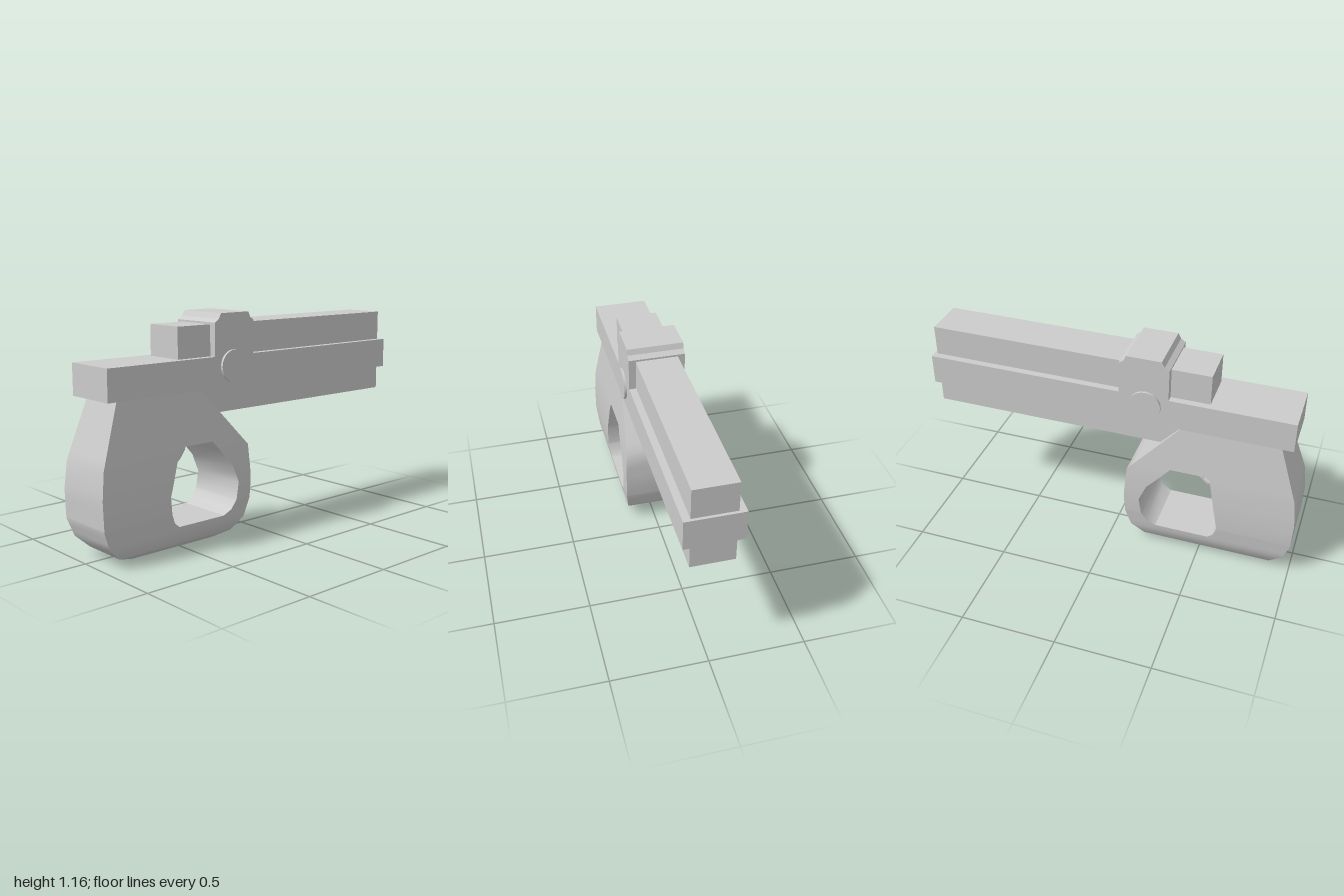
import * as THREE from 'three';
import { toCreasedNormals } from 'three/addons/utils/BufferGeometryUtils.js';

const material = new THREE.MeshStandardMaterial({ color: 0xcccccc });

function addMesh(group, name, geometry) {
  const mesh = new THREE.Mesh(geometry, material);
  mesh.name = name;
  group.add(mesh);
  return mesh;
}

// Extrudes an x/y outline, centred on z = 0
function plate(points, depth, bevel = 0) {
  const shape = new THREE.Shape(points.map(([x, y]) => new THREE.Vector2(x, y)));
  const inner = depth - 2 * bevel;
  return new THREE.ExtrudeGeometry(shape, {
    depth: inner, bevelEnabled: bevel > 0, bevelSize: bevel,
    bevelThickness: bevel, bevelOffset: -bevel, bevelSegments: 1,
  }).translate(0, 0, -inner / 2);
}

// Linear lookup in a list of [y, value] pairs
function at(table, y) {
  for (let i = 1; i < table.length; i++) {
    const [y0, v0] = table[i - 1], [y1, v1] = table[i];
    if (y <= y1) return v0 + (v1 - v0) * (y - y0) / (y1 - y0);
  }
  return table[table.length - 1][1];
}

// Grip profile: outer edges, hole edges and half thickness by height
const outerLeft = [[0, -0.79], [0.03, -0.89], [0.095, -0.96], [0.19, -0.995], [0.34, -1], [0.48, -0.985], [0.79, -0.88]];
const outerRight = [[0, -0.29], [0.03, -0.19], [0.095, -0.12], [0.19, -0.09], [0.3, -0.08], [0.48, -0.095], [0.79, -0.38]];
const holeLeftFront = [[0.125, -0.55], [0.15, -0.58], [0.2, -0.6], [0.29, -0.607], [0.525, -0.54]];
const holeLeftBack = [[0.125, -0.55], [0.15, -0.58], [0.2, -0.6], [0.525, -0.54]];
const holeRight = [[0.125, -0.26], [0.15, -0.21], [0.2, -0.18], [0.29, -0.165], [0.385, -0.205], [0.525, -0.33]];
const halfWidth = [[0, 0.09], [0.03, 0.13], [0.095, 0.153], [0.2, 0.166], [0.34, 0.166], [0.48, 0.159], [0.79, 0.122]];
const levels = [0, 0.03, 0.095, 0.125, 0.15, 0.19, 0.2, 0.29, 0.34, 0.385, 0.48, 0.525, 0.79];

// Stacks four-cornered sections between two heights and caps the ends
function stack(from, to, left, right, rightBack = right) {
  const rows = levels.filter((y) => y >= from && y <= to);
  const positions = [], index = [];
  for (const y of rows) {
    const w = at(halfWidth, y);
    positions.push(at(left, y), y, w, at(right, y), y, w, at(rightBack, y), y, -w, at(left, y), y, -w);
  }
  for (let r = 0; r < rows.length - 1; r++) {
    for (let c = 0; c < 4; c++) {
      const a = r * 4 + c, b = r * 4 + (c + 1) % 4;
      index.push(a, b, b + 4, a, b + 4, a + 4);
    }
  }
  const t = (rows.length - 1) * 4;
  index.push(0, 2, 1, 0, 3, 2, t, t + 1, t + 2, t, t + 2, t + 3);
  const geometry = new THREE.BufferGeometry();
  geometry.setAttribute('position', new THREE.Float32BufferAttribute(positions, 3));
  geometry.setIndex(index);
  return toCreasedNormals(geometry, 0.7);
}

export function createModel() {
  const model = new THREE.Group();
  model.name = 'blaster';

  // Long frame with the raised block on top
  addMesh(model, 'frame', plate([
    [-0.945, 0.79], [1, 0.79], [1, 0.95], [-0.045, 0.95], [-0.045, 1.12], [-0.07, 1.137], [-0.082, 1.165],
    [-0.265, 1.165], [-0.28, 1.137], [-0.305, 1.12], [-0.305, 0.95], [-0.945, 0.95],
  ], 0.294));

  // Narrower barrel running through the frame
  addMesh(model, 'barrel', new THREE.BoxGeometry(1.495, 0.45, 0.22)).position.set(0.2375, 0.885, 0);

  // Round pivot showing on both sides
  const pivot = addMesh(model, 'pivot', new THREE.CylinderGeometry(0.082, 0.082, 0.32, 40));
  pivot.rotation.x = Math.PI / 2;
  pivot.position.set(-0.185, 0.898, 0);

  // Closed-loop grip around the hand hole
  const grip = new THREE.Group();
  grip.name = 'grip';
  model.add(grip);
  addMesh(grip, 'gripBase', stack(0, 0.125, outerLeft, outerRight));
  addMesh(grip, 'rearPost', stack(0.125, 0.525, outerLeft, holeLeftFront, holeLeftBack));
  addMesh(grip, 'frontGuard', stack(0.125, 0.525, holeRight, outerRight));
  addMesh(grip, 'gripTop', stack(0.525, 0.79, outerLeft, outerRight));

  // Curved trigger hanging into the hole
  addMesh(model, 'trigger', plate([
    [-0.39, 0.56], [-0.455, 0.56], [-0.46, 0.48], [-0.49, 0.42], [-0.537, 0.392], [-0.535, 0.377],
    [-0.505, 0.375], [-0.44, 0.43], [-0.41, 0.47], [-0.39, 0.53],
  ], 0.07, 0.008));

  return model;
}
